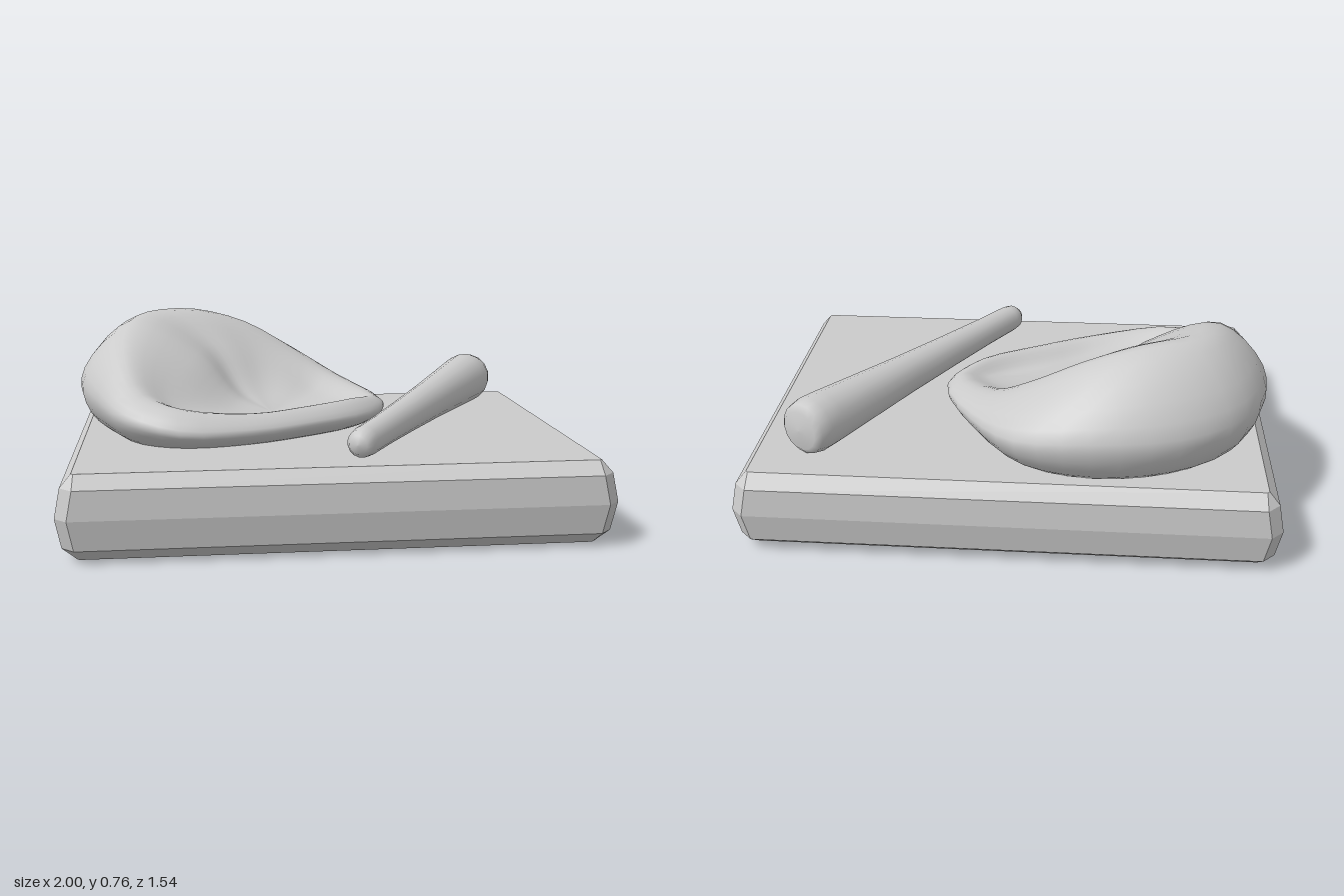
import * as THREE from 'three';
import { mergeVertices } from 'three/addons/utils/BufferGeometryUtils.js';

const material = new THREE.MeshStandardMaterial({ color: 0xcccccc });
const V = (x, y, z) => new THREE.Vector3(x, y, z);

// Skin a grid of closed rings, listed from the bottom up, each clockwise seen from above
function loft(rings) {
  const n = rings[0].length, index = [];
  for (let r = 0; r < rings.length - 1; r++) {
    for (let i = 0; i < n; i++) {
      const a = r * n + i, b = r * n + (i + 1) % n;
      index.push(a, a + n, b, b, a + n, b + n);
    }
  }
  const geometry = new THREE.BufferGeometry().setFromPoints(rings.flat());
  geometry.setIndex(index);
  return geometry;
}

function addMesh(group, name, geometry, mat = material) {
  const mesh = new THREE.Mesh(geometry, mat);
  mesh.name = name;
  group.add(mesh);
  return mesh;
}

// Slab with bevelled edges, cut corners and slightly bulging sides
function baseGeometry() {
  const ring = (y, x, z, c) => [
    V(-x, y, z - c), V(-x, y, c - z), V(c - x, y, -z), V(x - c, y, -z),
    V(x, y, c - z), V(x, y, z - c), V(x - c, y, z), V(c - x, y, z),
  ];
  const geometry = loft([
    ring(0, 0, 0, 0),
    ring(0, 0.93, 0.69, 0.008),
    ring(0.05, 0.98, 0.755, 0.045),
    ring(0.16, 1, 0.77, 0.045),
    ring(0.265, 0.98, 0.76, 0.045),
    ring(0.312, 0.94, 0.71, 0.008),
    ring(0.312, 0, 0, 0),
  ]).toNonIndexed();
  geometry.computeVertexNormals();
  return geometry;
}

// Mitt: outer belly, raised crest and inner pocket rings, rounded together
function gloveGeometry() {
  const belly = [
    [-0.97, 0.5, -0.17], [-0.87, 0.5, -0.5], [-0.62, 0.5, -0.69], [-0.3, 0.5, -0.75],
    [-0.03, 0.46, -0.67], [0.15, 0.42, -0.44], [0.28, 0.38, -0.1], [0.2, 0.37, 0.07],
    [-0.05, 0.37, 0.26], [-0.3, 0.37, 0.39], [-0.57, 0.38, 0.44], [-0.77, 0.42, 0.34],
    [-0.89, 0.46, 0.1],
  ];
  const crest = [
    [-0.78, 0.71, -0.15], [-0.7, 0.75, -0.38], [-0.5, 0.75, -0.48], [-0.28, 0.69, -0.5],
    [-0.08, 0.58, -0.45], [0.08, 0.48, -0.33], [0.22, 0.425, -0.08], [0.13, 0.435, 0.05],
    [-0.08, 0.43, 0.19], [-0.3, 0.43, 0.31], [-0.57, 0.46, 0.36], [-0.71, 0.5, 0.26],
    [-0.78, 0.61, 0.06],
  ];
  const pocket = [
    [-0.5, 0.6, -0.1], [-0.45, 0.62, -0.25], [-0.35, 0.61, -0.3], [-0.23, 0.56, -0.32],
    [-0.1, 0.49, -0.28], [0, 0.42, -0.2], [0.12, 0.39, -0.04], [0.07, 0.385, 0.02],
    [-0.12, 0.385, 0.12], [-0.3, 0.39, 0.22], [-0.52, 0.42, 0.25], [-0.6, 0.46, 0.18],
    [-0.58, 0.53, 0.05],
  ];
  const under = V(-0.35, 0.31, -0.15), floor = V(-0.2, 0.38, 0.02);
  const loops = [belly, crest, pocket].map((points) =>
    new THREE.CatmullRomCurve3(points.map((p) => V(...p)), true, 'centripetal'));
  const around = 39, along = 30;
  const profiles = Array.from({ length: around }, (_, i) => {
    const [b, c, p] = loops.map((loop) => loop.getPoint(i / around));
    const foot = b.clone().lerp(under, 0.15).setY(0.31);
    const low = p.clone().lerp(floor, 0.55);
    low.y = THREE.MathUtils.lerp(p.y, floor.y, 0.75);
    return new THREE.CatmullRomCurve3([under, foot, b, c, p, low, floor], false, 'centripetal');
  });
  const rings = Array.from({ length: along + 1 }, (_, j) => profiles.map((curve) => {
    const point = curve.getPoint(j / along);
    point.y = Math.max(point.y, 0.308);
    return point;
  }));
  const geometry = mergeVertices(loft(rings));
  geometry.computeVertexNormals();
  return geometry;
}

// Tapered bat with rounded ends, turned around its own y axis
function batGeometry() {
  const profile = [
    [0, 0], [0.035, 0.004], [0.052, 0.03], [0.057, 0.07], [0.06, 0.25], [0.068, 0.5],
    [0.08, 0.8], [0.096, 1.1], [0.106, 1.28], [0.108, 1.35], [0.098, 1.395], [0.075, 1.415], [0, 1.42],
  ];
  return new THREE.LatheGeometry(profile.map(([r, y]) => new THREE.Vector2(r, y)), 16);
}

export function createModel() {
  const model = new THREE.Group();
  model.name = 'batAndGloveOnBase';

  const flat = material.clone();
  flat.flatShading = true;
  addMesh(model, 'base', baseGeometry(), flat);
  addMesh(model, 'glove', gloveGeometry());

  // The bat lies on the base, so its axis climbs with the taper
  const bat = addMesh(model, 'bat', batGeometry());
  const thin = V(0.06, 0.372, 0.645), thick = V(0.765, 0.418, -0.585);
  bat.position.copy(thin);
  bat.quaternion.setFromUnitVectors(V(0, 1, 0), thick.sub(thin).normalize());
  return model;
}
